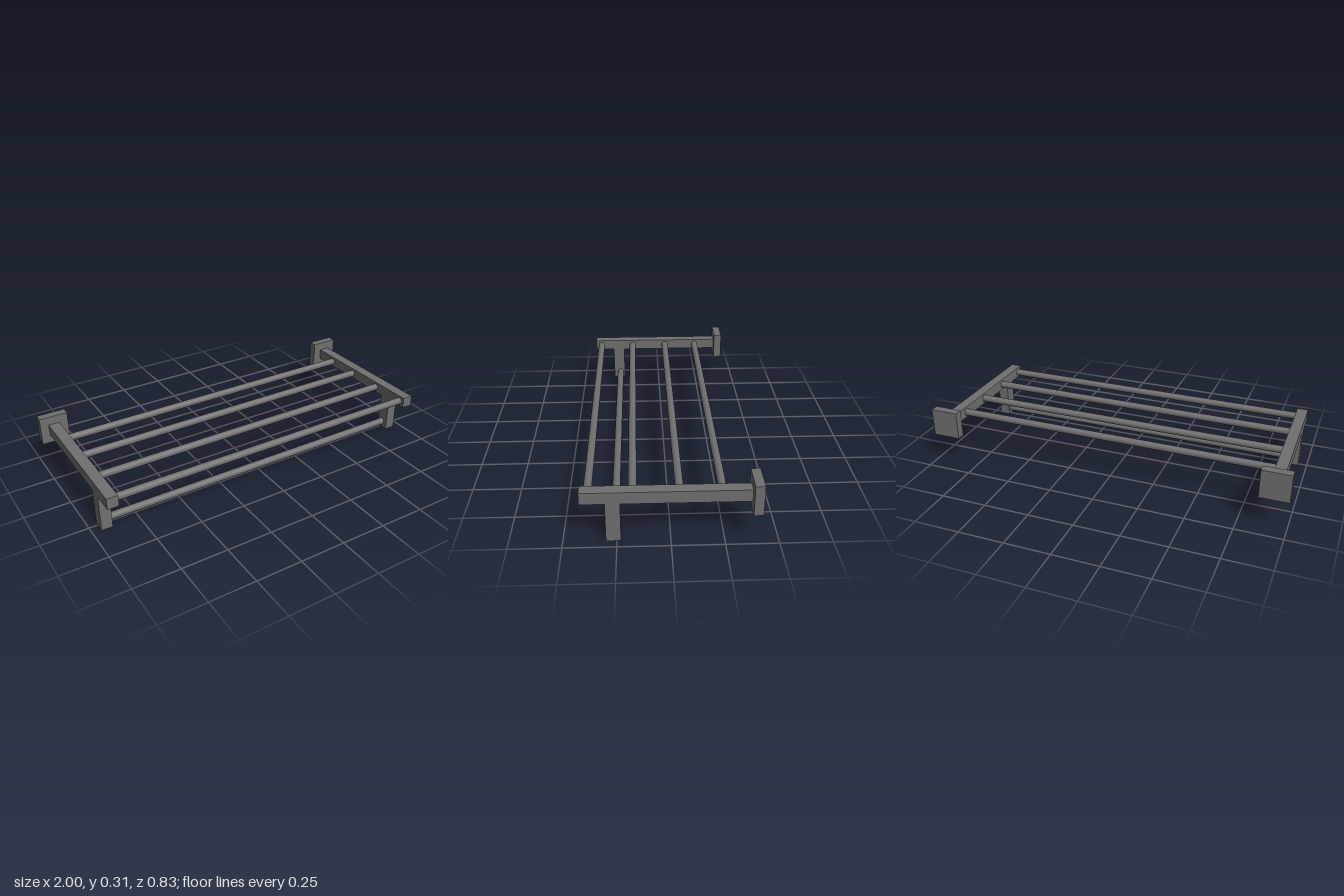
import * as THREE from 'three';

export function createModel() {
  const group = new THREE.Group();
  group.name = 'towelRack';
  const material = new THREE.MeshStandardMaterial({ color: 0x707070 });

  const add = (name, geometry, x, y, z) => {
    const mesh = new THREE.Mesh(geometry, material);
    mesh.name = name;
    mesh.position.set(x, y, z);
    group.add(mesh);
  };

  // Box given by its lower and upper corners
  const box = (name, [x0, y0, z0], [x1, y1, z1]) =>
    add(name, new THREE.BoxGeometry(x1 - x0, y1 - y0, z1 - z0),
      (x0 + x1) / 2, (y0 + y1) / 2, (z0 + z1) / 2);

  // Wall plate, side arm and hanging bracket at each end
  for (const [side, s] of [['left', 1], ['right', -1]]) {
    const pair = (a, b) => (s > 0 ? [a, b] : [-b, -a]);
    const [p0, p1] = pair(0.845, 1);
    const [a0, a1] = pair(0.894, 0.954);
    box(side + 'WallPlate', [p0, 0.156, -0.417], [p1, 0.311, -0.371]);
    box(side + 'Arm', [a0, 0.203, -0.371], [a1, 0.264, 0.417]);
    box(side + 'Bracket', [a0, 0, 0.231], [a1, 0.203, 0.301]);
  }

  // Rails between the arms, and the lower towel bar between the brackets
  const rail = new THREE.CylinderGeometry(0.02, 0.02, 1.79, 32).rotateZ(Math.PI / 2);
  [-0.24, -0.041, 0.175, 0.381].forEach((z, i) => add('shelfRail' + (i + 1), rail, 0, 0.233, z));
  add('towelBar', rail, 0, 0.037, 0.26);

  return group;
}
